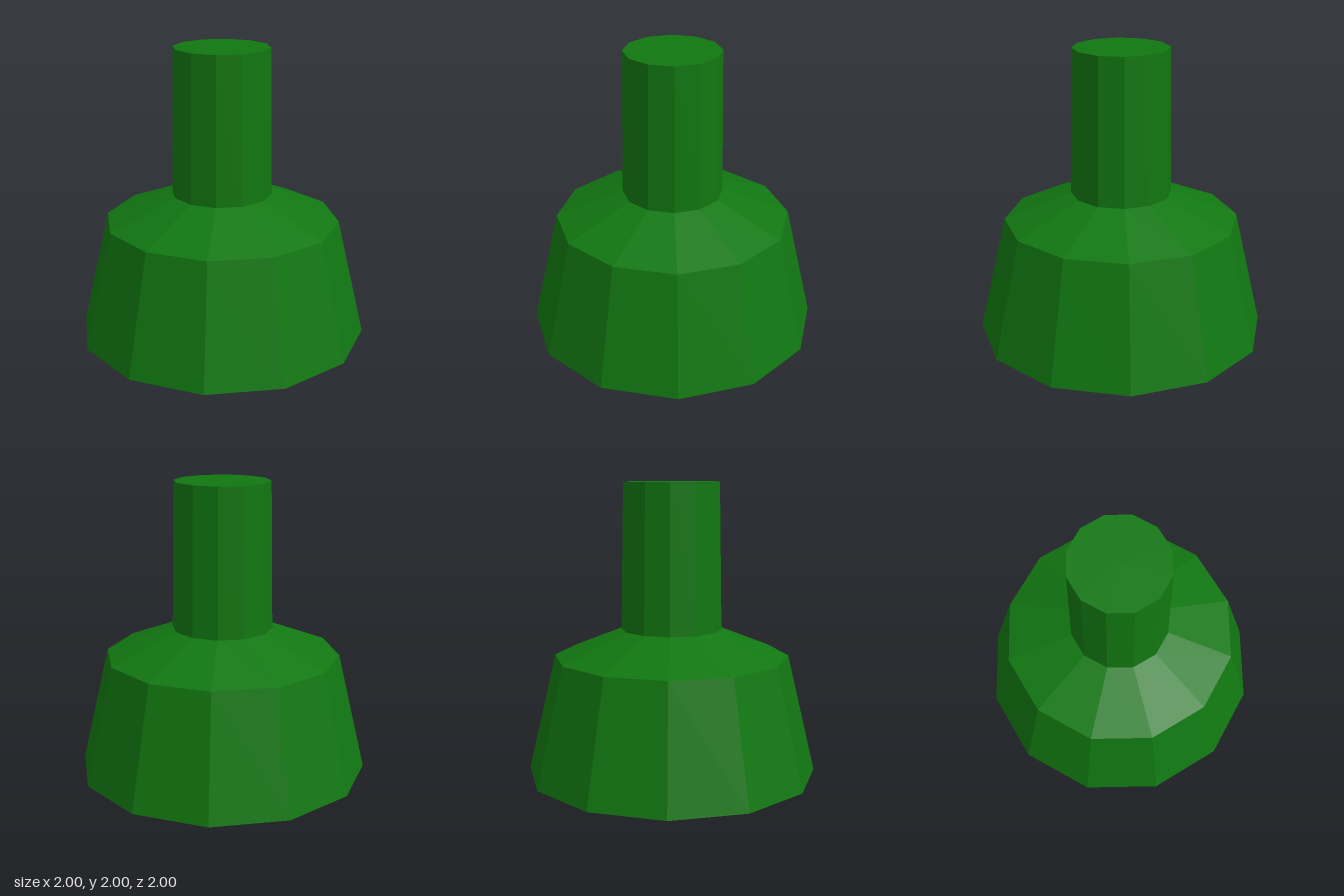
import * as THREE from 'three';

const SIDES = 12;

export function createModel() {
  const model = new THREE.Group();
  model.name = 'flaredBottle';

  const green = new THREE.MeshStandardMaterial({ color: 0x117711, flatShading: true });
  green.name = 'bottle green';

  // Each part is a faceted ring swept from [radius, height] points, bottom to top
  const addPart = (name, profile) => {
    const points = profile.map(([r, y]) => new THREE.Vector2(r, y));
    const part = new THREE.Mesh(new THREE.LatheGeometry(points, SIDES), green);
    part.name = name;
    model.add(part);
  };

  // Wide tapering body, closed underneath
  addPart('body', [[0, 0], [1, 0], [0.806, 0.815]]);
  // Sloping shoulder between body and neck
  addPart('shoulder', [[0.806, 0.815], [0.344, 1]]);
  // Slim neck, closed on top
  addPart('neck', [[0.344, 1], [0.325, 2], [0, 2]]);

  return model;
}
